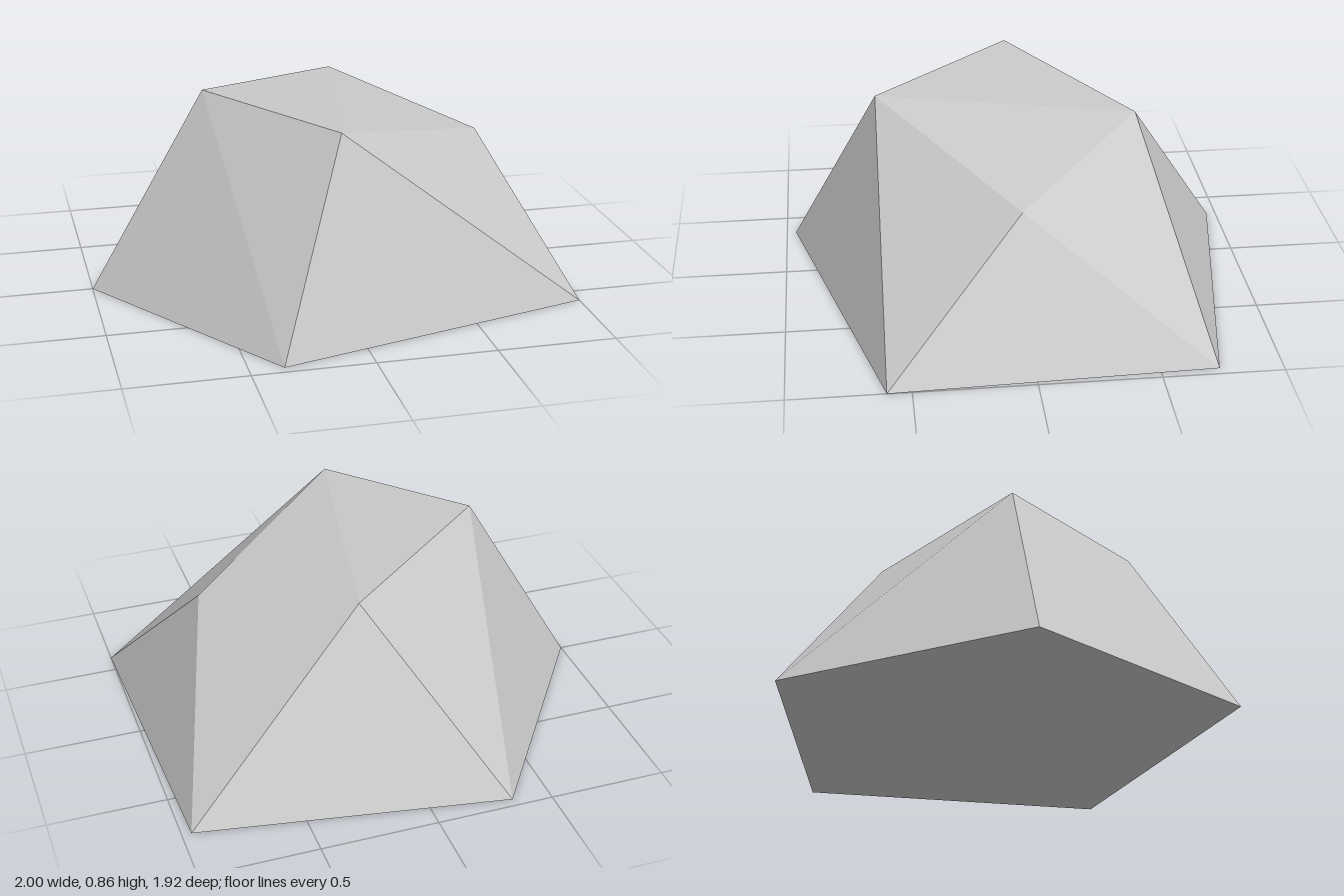
import * as THREE from 'three';
import { ConvexGeometry } from 'three/addons/geometries/ConvexGeometry.js';

export function createModel() {
  const group = new THREE.Group();
  group.name = 'rock';

  const stone = new THREE.MeshStandardMaterial({ color: 0xc8c8c8 });
  stone.name = 'grey stone';

  // Five-sided footprint on the ground
  const base = [[-1, 0, 0], [-0.36, 0, 0.96], [1, 0, 0.6], [0.96, 0, -0.74], [-0.34, 0, -0.96]];
  // Four-sided top that slopes down to the left side
  const top = [[-0.5, 0.855, -0.02], [-0.04, 0.815, 0.58], [0.7, 0.615, 0.03], [0.17, 0.785, -0.505]];

  // The facets span the corners as a convex shell with one flat normal per face
  const corners = [...base, ...top].map((p) => new THREE.Vector3(...p));
  const boulder = new THREE.Mesh(new ConvexGeometry(corners), stone);
  boulder.name = 'boulder';
  group.add(boulder);

  return group;
}
